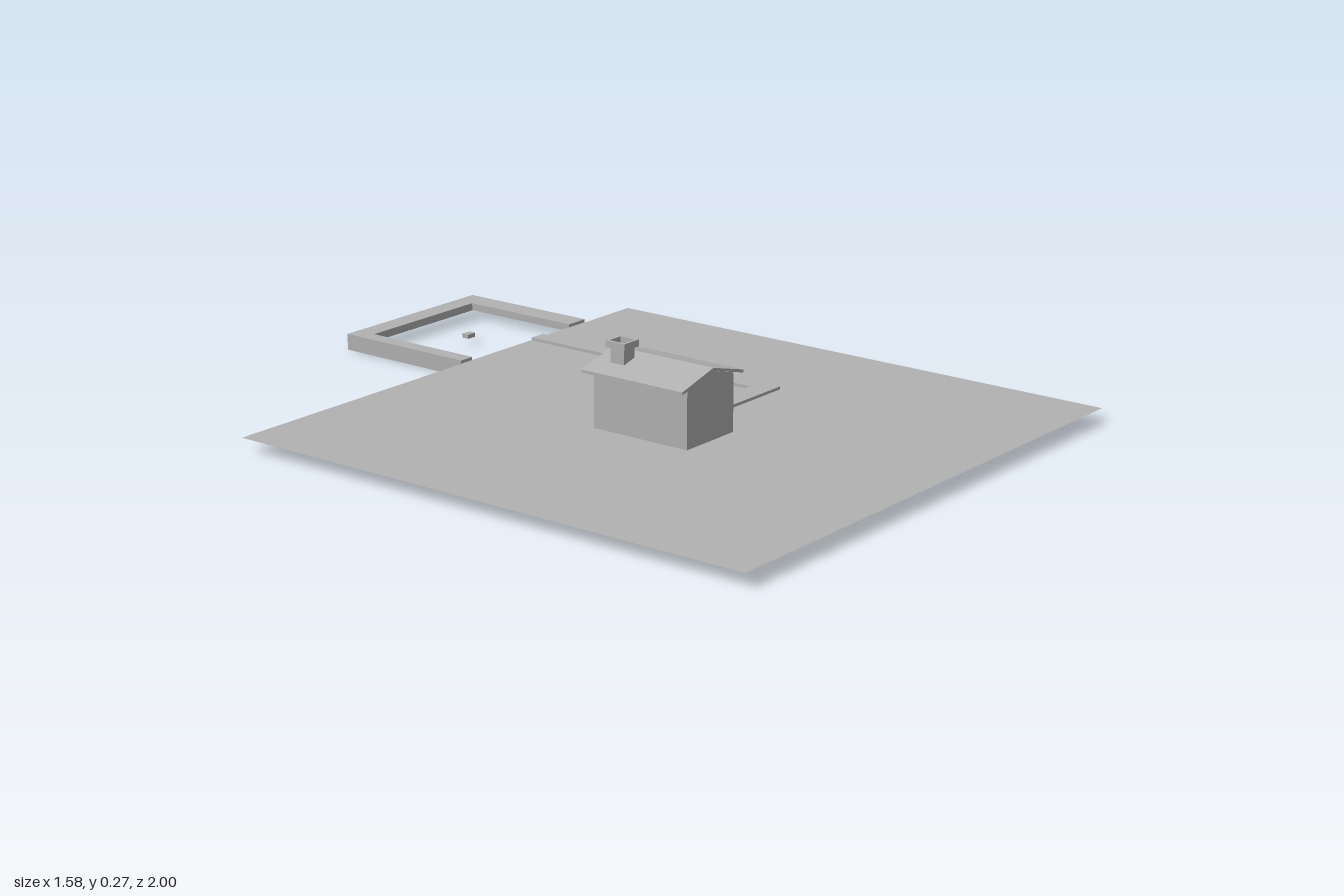
import * as THREE from 'three';

export function createModel() {
  const model = new THREE.Group();
  const grey = new THREE.MeshStandardMaterial({ color: 0xb2b2b2 });
  grey.name = 'plain grey';
  grey.side = THREE.DoubleSide;

  const add = (name, geometry, parent = model) => {
    const mesh = new THREE.Mesh(geometry, grey);
    mesh.name = name;
    parent.add(mesh);
    return mesh;
  };
  // Box given by its lower and upper limits on each axis
  const box = (name, x0, x1, y0, y1, z0, z1, parent) =>
    add(name, new THREE.BoxGeometry(x1 - x0, y1 - y0, z1 - z0), parent)
      .position.set((x0 + x1) / 2, (y0 + y1) / 2, (z0 + z1) / 2);
  const group = (name) => {
    const g = new THREE.Group();
    g.name = name;
    model.add(g);
    return g;
  };
  const outline = (points) => new THREE.Shape(points.map(([x, y]) => new THREE.Vector2(x, y)));
  // Plan outline (x, z) raised from y0 to y1
  const slab = (shape, y0, y1) =>
    new THREE.ExtrudeGeometry(shape, { depth: y1 - y0, bevelEnabled: false })
      .rotateX(Math.PI / 2).translate(0, y1, 0);
  // Front outline (x, y) run from z0 to z1
  const run = (shape, z0, z1) =>
    new THREE.ExtrudeGeometry(shape, { depth: z1 - z0, bevelEnabled: false }).translate(0, 0, z0);

  const G = 0.036; // ground height

  // Lawn sheet
  const lawn = add('ground', new THREE.PlaneGeometry(1.575, 1.575).rotateX(-Math.PI / 2));
  lawn.position.set(-0.0025, G, 0.2125);

  // L-shaped path from the door to the pool
  add('path', slab(outline([
    [0.022, 0.18], [0.35, 0.18], [0.35, -0.575], [0.4, -0.575], [0.4, 0.245], [0.022, 0.245],
  ]), G - 0.0005, 0.044));

  // Pool: thin outer walls under a flat U-shaped rim
  const pool = group('pool');
  add('poolRim', slab(outline([
    [0.05, -0.575], [0.05, -1], [0.585, -1], [0.585, -0.575],
    [0.515, -0.575], [0.515, -0.94], [0.095, -0.94], [0.095, -0.575],
  ]), 0.037, 0.046), pool);
  const T = 0.002;
  box('poolSideWall', 0.05, 0.05 + T, 0, 0.045, -1, -0.575, pool);
  box('poolSideWall', 0.585 - T, 0.585, 0, 0.045, -1, -0.575, pool);
  box('poolBackWall', 0.05, 0.585, 0, 0.045, -1, -1 + T, pool);
  box('poolFrontWall', 0.05, 0.585, 0, G, -0.575 - T, -0.575, pool);
  box('poolFloat', 0.296, 0.326, 0.018, 0.03, -0.787, -0.765, pool);

  // House body with gable ends
  const house = group('house');
  add('walls', run(outline([
    [-0.172, G], [0.022, G], [0.022, 0.194], [-0.075, 0.221], [-0.172, 0.194],
  ]), 0.07, 0.368), house);

  // Pitched roof
  add('roof', run(outline([
    [-0.203, 0.188], [-0.075, 0.222], [0.053, 0.188],
    [0.053, 0.196], [-0.075, 0.23], [-0.203, 0.196],
  ]), 0.055, 0.376), house);

  // Chimney with an open cap
  box('chimneyStack', -0.147, -0.105, 0.195, 0.253, 0.105, 0.148, house);
  const cap = outline([[-0.156, 0.096], [-0.097, 0.096], [-0.097, 0.157], [-0.156, 0.157]]);
  cap.holes.push(outline([[-0.149, 0.103], [-0.149, 0.15], [-0.104, 0.15], [-0.104, 0.103]]));
  add('chimneyCap', slab(cap, 0.252, 0.27), house);

  // Door with knob
  box('door', 0.02, 0.027, G, 0.148, 0.18, 0.24, house);
  add('doorKnob', new THREE.SphereGeometry(0.003, 8, 6), house).position.set(0.029, 0.095, 0.196);

  // Two four-pane windows
  for (const z of [0.302, 0.12]) {
    const r = 0.026, y = 0.115, w = 0.004;
    for (const s of [-1, 0, 1]) {
      const c = s * (r - w / 2);
      box('windowUpright', 0.02, 0.027, y - r, y + r, z + c - w / 2, z + c + w / 2, house);
      box('windowBar', 0.02, 0.0268, y + c - w / 2, y + c + w / 2, z - r, z + r, house);
    }
  }
  return model;
}
